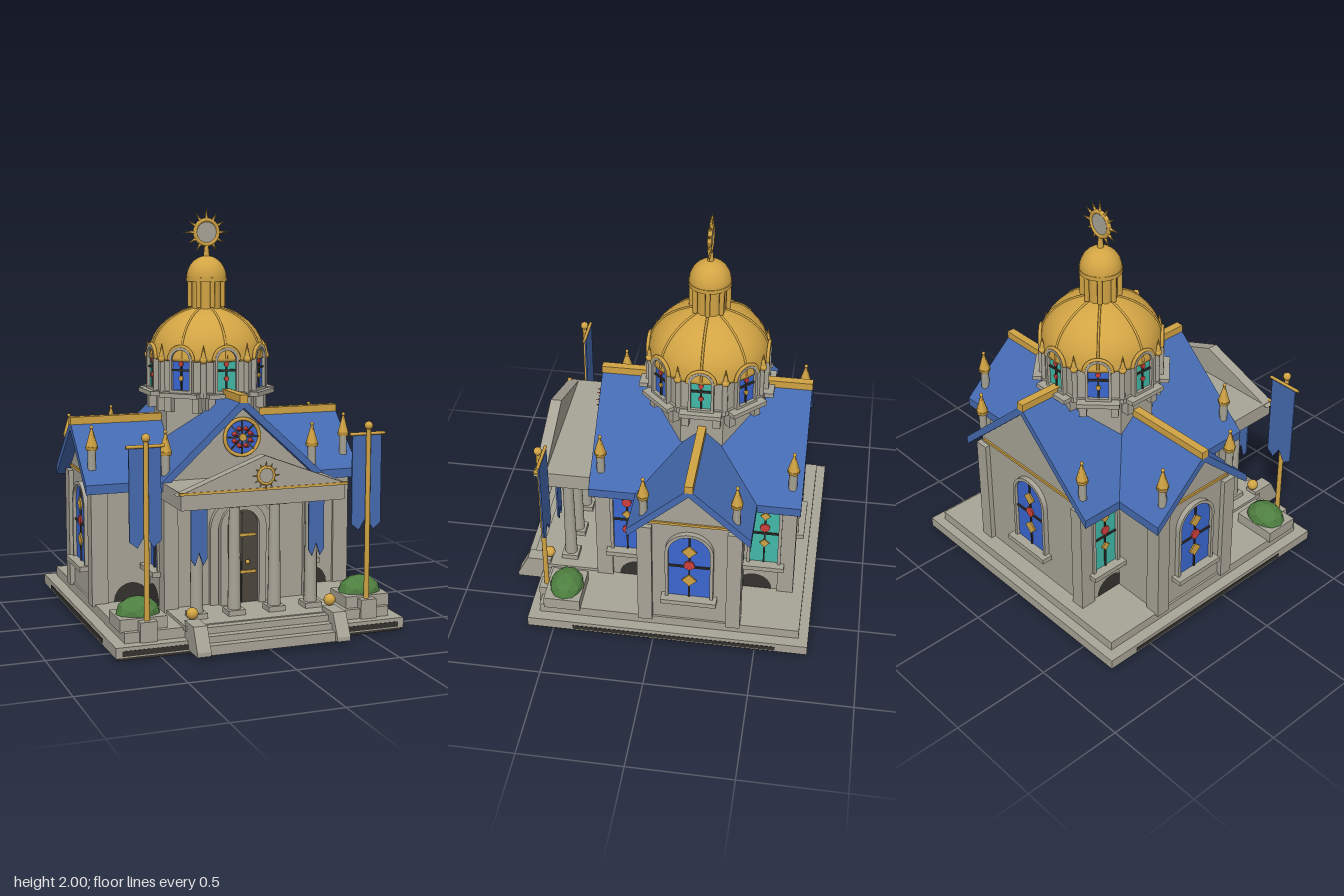
import * as THREE from 'three';

const material = (name, color, extra = {}) => {
  const m = new THREE.MeshStandardMaterial({ color, ...extra });
  m.name = name;
  return m;
};
const stone = material('stone', 0xa8a497);
const roofBlue = material('roofBlue', 0x456ab0);
const gold = material('gold', 0xd2a444);
const glassBlue = material('glassBlue', 0x3a66d0);
const teal = material('teal', 0x42b8a8);
const red = material('red', 0xd0403c);
const green = material('green', 0x4f8040);
const wood = material('wood', 0x4c463c);
const dark = material('dark', 0x34322e);
const foliageFlat = { flat: true };

function add(parent, name, geo, mat, x = 0, y = 0, z = 0) {
  const m = new THREE.Mesh(geo, mat);
  m.name = name;
  m.position.set(x, y, z);
  parent.add(m);
  return m;
}
function group(parent, name, x = 0, y = 0, z = 0, ry = 0) {
  const g = new THREE.Group();
  g.name = name;
  g.position.set(x, y, z);
  g.rotation.y = ry;
  parent.add(g);
  return g;
}
// Box given by its limits
function block(parent, name, mat, x0, x1, y0, y1, z0, z1) {
  return add(parent, name, new THREE.BoxGeometry(x1 - x0, y1 - y0, z1 - z0), mat, (x0 + x1) / 2, (y0 + y1) / 2, (z0 + z1) / 2);
}
const cyl = (rt, rb, h, n = 16) => new THREE.CylinderGeometry(rt, rb, h, n);
const ball = (r) => new THREE.SphereGeometry(r, 16, 10);
const extrude = (shape, depth) => new THREE.ExtrudeGeometry(shape, { depth, bevelEnabled: false, curveSegments: 12 });
const poly = (pts) => new THREE.Shape(pts.map(([x, y]) => new THREE.Vector2(x, y)));

// Round-headed opening with its foot at y = y0
function arch(w, h, y0 = 0, Type = THREE.Shape) {
  const s = new Type(), r = w / 2;
  s.moveTo(-r, y0);
  s.lineTo(r, y0);
  s.lineTo(r, y0 + h - r);
  s.absarc(0, y0 + h - r, r, 0, Math.PI, false);
  s.lineTo(-r, y0);
  return s;
}
function archFrame(w, h, t, depth) {
  const s = arch(w + 2 * t, h + 2 * t, -t);
  s.holes.push(arch(w, h, 0, THREE.Path));
  return extrude(s, depth);
}

// Stained window facing +z, foot at the group origin
function stainedWindow(parent, w, h, glass, x, y, z, ry, marks, frame = 0.016, sill = true) {
  const g = group(parent, 'stainedWindow', x, y, z, ry);
  add(g, 'windowFrame', archFrame(w, h, frame, 0.025), stone);
  add(g, 'windowGlass', extrude(arch(w, h), 0.009), glass);
  block(g, 'mullion', dark, -0.004, 0.004, 0, h - 0.005, 0.009, 0.016);
  block(g, 'crossBar', dark, -w / 2, w / 2, h * 0.5 - 0.005, h * 0.5 + 0.005, 0.009, 0.016);
  marks.forEach(([mat, f, r, n]) => {
    add(g, 'glassOrnament', cyl(r, r, 0.008, n).rotateX(Math.PI / 2), mat, 0, h * f, 0.015);
  });
  if (sill) block(g, 'windowSill', stone, -w / 2 - 0.035, w / 2 + 0.035, -0.025, 0, -0.01, 0.055);
  return g;
}
const tallMarks = [[gold, 0.75, 0.036, 4], [red, 0.53, 0.026, 12], [gold, 0.28, 0.036, 4]];
const blueMarks = [[red, 0.8, 0.024, 12], [gold, 0.6, 0.024, 4], [red, 0.34, 0.024, 12]];
const tealMarks = [[gold, 0.8, 0.024, 4], [red, 0.6, 0.024, 12], [gold, 0.34, 0.024, 4]];

// Gabled wing along local z, with walls, roof, ridge and corner piers
function wing(root, name, z, ry, halfW, halfL, apex, roofHalfW, roofHalfL) {
  const g = group(root, name, 0, 0, z, ry);
  const eave = 0.7, t = 0.045, slope = (apex - eave) / roofHalfW, top = apex - t;
  const wallTop = top - slope * halfW;
  const wall = poly([[-halfW, 0.1], [halfW, 0.1], [halfW, wallTop], [0, top], [-halfW, wallTop]]);
  add(g, 'walls', extrude(wall, 2 * halfL), stone, 0, 0, -halfL);
  const roof = poly([[-roofHalfW, eave], [-roofHalfW, eave - t], [0, top], [roofHalfW, eave - t], [roofHalfW, eave], [0, apex]]);
  add(g, 'roof', extrude(roof, 2 * roofHalfL), roofBlue, 0, 0, -roofHalfL);
  block(g, 'ridge', gold, -0.02, 0.02, apex - 0.02, apex + 0.018, -roofHalfL - 0.002, roofHalfL + 0.002);
  for (const sx of [-1, 1]) for (const sz of [-1, 1]) {
    const px = sx * (halfW - 0.02), pz = sz * (halfL - 0.015);
    block(g, 'cornerPier', stone, px - 0.035, px + 0.035, 0.1, 0.69, pz - 0.04, pz + 0.04);
    // Hexagonal roof pinnacle
    const p = group(g, 'pinnacle', sx * (roofHalfW - 0.075), eave + 0.06, sz * (roofHalfL - 0.05));
    add(p, 'pinnacleShaft', cyl(0.021, 0.021, 0.11, 6), stone, 0, 0.055, 0);
    add(p, 'pinnacleCollar', cyl(0.032, 0.028, 0.018, 6), gold, 0, 0.105, 0);
    add(p, 'pinnacleSpire', cyl(0.004, 0.03, 0.09, 6), gold, 0, 0.157, 0);
    add(p, 'pinnacleTip', ball(0.009), gold, 0, 0.205, 0);
  }
  for (const s of [-1, 1])
    block(g, 'gableBand', gold, -halfW + 0.02, halfW - 0.02, 0.705, 0.718, s * halfL - 0.008, s * halfL + 0.008);
  return g;
}

// Sun emblem facing +z
function sun(parent, name, r, reach, x, y, z) {
  const g = group(parent, name, x, y, z);
  add(g, 'sunDisc', cyl(r, r, 0.008, 24).rotateX(Math.PI / 2), stone);
  add(g, 'sunRing', new THREE.TorusGeometry(r, r * 0.18, 8, 24), gold);
  for (let i = 0; i < 12; i++) {
    const a = i * Math.PI / 6, len = (reach - r) * (i % 3 ? 0.8 : 1);
    const ray = add(g, 'sunRay', new THREE.ConeGeometry(r * 0.16, len, 6), gold, -Math.sin(a) * (r + len / 2), Math.cos(a) * (r + len / 2), 0);
    ray.rotation.z = a;
  }
}
// Swallow-tailed hanging cloth
function banner(parent, w, h, x, top, z) {
  const s = poly([[-w / 2, 0], [-w / 2, -h + 0.03], [-w / 4, -h], [0, -h + 0.06], [w / 4, -h], [w / 2, -h + 0.03], [w / 2, 0]].reverse());
  add(parent, 'banner', extrude(s, 0.008), roofBlue, x, top, z);
}

export function createModel() {
  const root = new THREE.Group();
  root.name = 'domedChapel';

  // Terraces and front stair
  block(root, 'foundation', dark, -0.7, 0.7, 0, 0.016, -0.75, 0.62);
  block(root, 'lowerTerrace', stone, -0.71, 0.71, 0.012, 0.062, -0.757, 0.627);
  block(root, 'upperTerrace', stone, -0.655, 0.655, 0.06, 0.11, -0.71, 0.575);
  block(root, 'porchFloor', stone, -0.38, 0.38, 0.1, 0.125, 0.3, 0.61);
  [0.12, 0.09, 0.06].forEach((y, i) => block(root, 'step', stone, -0.31, 0.31, 0.015, y, 0.55, 0.65 + i * 0.04));
  for (const s of [-1, 1]) {
    const cheek = poly([[0.58, 0.02], [0.755, 0.02], [0.755, 0.04], [0.7, 0.145], [0.58, 0.145]]);
    add(root, 'stairCheek', extrude(cheek, 0.066).rotateY(-Math.PI / 2), stone, s * 0.34 + 0.033, 0, 0);
    add(root, 'stairBall', ball(0.028), gold, s * 0.34, 0.175, 0.59);
    block(root, 'terraceStain', dark, s * 0.5 - 0.18, s * 0.5 + 0.18, 0.02, 0.045, 0.622, 0.629);
    block(root, 'terraceStain', dark, s * 0.708 - 0.004, s * 0.708 + 0.004, 0.02, 0.042, -0.6, 0.4);
  }

  // Crossing wings
  wing(root, 'nave', -0.162, 0, 0.375, 0.47, 1.11, 0.445, 0.513);
  wing(root, 'transept', -0.172, Math.PI / 2, 0.235, 0.645, 0.97, 0.293, 0.705);

  // Wall windows and damp stains
  stainedWindow(root, 0.2, 0.38, glassBlue, 0, 0.27, -0.632, Math.PI, tallMarks);
  for (const s of [-1, 1]) {
    const ry = s * Math.PI / 2;
    stainedWindow(root, 0.2, 0.38, glassBlue, s * 0.645, 0.27, -0.172, ry, tallMarks);
    stainedWindow(root, 0.135, 0.37, glassBlue, s * 0.375, 0.295, 0.175, ry, blueMarks);
    stainedWindow(root, 0.135, 0.37, teal, s * 0.375, 0.295, -0.505, ry, tealMarks);
    for (const z of [0.13, -0.46])
      add(root, 'wallStain', new THREE.CircleGeometry(0.09, 10, 0, Math.PI), dark, s * 0.379, 0.112, z).rotation.y = ry;
    add(root, 'wallStain', new THREE.CircleGeometry(0.09, 10, 0, Math.PI), dark, s * 0.47, 0.112, 0.067);
  }

  // Doorway
  const door = group(root, 'doorway', 0, 0.125, 0.308);
  add(door, 'outerArch', archFrame(0.24, 0.48, 0.04, 0.025), stone);
  add(door, 'innerArch', archFrame(0.16, 0.455, 0.035, 0.045), stone);
  add(door, 'doorLeaves', extrude(arch(0.16, 0.455), 0.02), wood);
  block(door, 'doorSeam', dark, -0.003, 0.003, 0, 0.44, 0.02, 0.025);
  for (const y of [0.15, 0.33]) block(door, 'doorHinge', gold, -0.07, 0.07, y - 0.007, y + 0.007, 0.02, 0.028);
  for (const s of [-1, 1]) add(door, 'doorKnob', ball(0.011), gold, s * 0.024, 0.2, 0.035);

  // Rose window
  const rose = group(root, 'roseWindow', 0, 0.925, 0.308);
  add(rose, 'roseGlass', cyl(0.085, 0.085, 0.02, 32).rotateX(Math.PI / 2), glassBlue, 0, 0, 0.01);
  add(rose, 'roseRing', new THREE.TorusGeometry(0.087, 0.009, 8, 32), gold, 0, 0, 0.02);
  add(rose, 'roseHub', cyl(0.018, 0.018, 0.012, 12).rotateX(Math.PI / 2), gold, 0, 0, 0.028);
  for (let i = 0; i < 8; i++) {
    const a = i * Math.PI / 4, b = a + Math.PI / 8;
    add(rose, 'roseSpoke', new THREE.BoxGeometry(0.08, 0.006, 0.006), dark, Math.cos(a) * 0.042, Math.sin(a) * 0.042, 0.023).rotation.z = a;
    add(rose, 'rosePetal', new THREE.ConeGeometry(0.012, 0.06, 6).rotateX(Math.PI / 2), red, Math.cos(b) * 0.043, Math.sin(b) * 0.043, 0.05);
  }

  // Portico
  for (const x of [-0.285, -0.1, 0.1, 0.285]) {
    const c = group(root, 'column', x, 0.12, 0.49);
    block(c, 'columnBase', stone, -0.042, 0.042, 0, 0.03, -0.042, 0.042);
    add(c, 'columnShaft', cyl(0.025, 0.031, 0.49), stone, 0, 0.27, 0);
    block(c, 'columnCapital', gold, -0.042, 0.042, 0.515, 0.537, -0.042, 0.042);
  }
  block(root, 'entablature', stone, -0.4, 0.4, 0.655, 0.735, 0.3, 0.615);
  add(root, 'pediment', extrude(poly([[-0.42, 0.725], [0.42, 0.725], [0, 0.885]]), 0.055), stone, 0, 0, 0.57);
  block(root, 'pedimentBand', gold, -0.41, 0.41, 0.728, 0.738, 0.61, 0.629);
  sun(root, 'pedimentSun', 0.038, 0.07, 0, 0.795, 0.632);

  // Planters, flags and porch banners
  for (const s of [-1, 1]) {
    const x = s * 0.557;
    block(root, 'planter', stone, x - 0.112, x + 0.112, 0.105, 0.165, 0.37, 0.55);
    const bush = new THREE.IcosahedronGeometry(0.1, 1).toNonIndexed();
    bush.computeVertexNormals();
    add(root, 'bush', bush, green, x, 0.165, 0.455).scale.set(1.05, 0.8, 0.85);
    const f = group(root, 'flag', s * 0.545, 0, 0.56);
    block(f, 'flagFoot', stone, -0.04, 0.04, 0.06, 0.155, -0.03, 0.03);
    add(f, 'flagPole', cyl(0.011, 0.013, 0.84, 10), gold, 0, 0.56, 0);
    add(f, 'flagBall', ball(0.02), gold, 0, 0.985, 0);
    add(f, 'flagBar', cyl(0.008, 0.008, 0.18, 8).rotateZ(Math.PI / 2), gold, 0, 0.945, -0.014);
    banner(f, 0.15, 0.455, 0, 0.94, -0.022);
    banner(root, 0.078, 0.27, s * 0.29, 0.65, 0.535);
  }

  // Octagonal drum
  const tower = group(root, 'domeTower', 0, 0, -0.17);
  const oct = Math.PI / 8, k = 1 / Math.cos(oct);
  const flatOct = (a, h) => cyl(a * k, a * k, h, 8).rotateY(oct).toNonIndexed();
  const drum = (name, a, y0, y1) => {
    const g = flatOct(a, y1 - y0);
    g.computeVertexNormals();
    add(tower, name, g, stone, 0, (y0 + y1) / 2, 0);
  };
  drum('lowerDrum', 0.245, 0.72, 1.095);
  drum('drumCornice', 0.282, 1.085, 1.11);
  drum('upperDrum', 0.27, 1.1, 1.29);
  for (let i = 0; i < 8; i++) {
    const side = group(tower, 'drumSide', 0, 0, 0, i * Math.PI / 4);
    block(side, 'drumLedge', stone, -0.1, 0.1, 1.085, 1.107, 0.24, 0.325);
    for (const s of [-1, 1]) block(side, 'drumBracket', stone, s * 0.075 - 0.018, s * 0.075 + 0.018, 1.01, 1.09, 0.235, 0.285);
    const mid = i % 2 ? gold : red;
    stainedWindow(side, 0.095, 0.195, i % 2 ? glassBlue : teal, 0, 1.12, 0.272, 0,
      [[red, 0.66, 0.012, 10], [mid, 0.3, 0.012, 10]], 0.013, false);
    add(side, 'windowHood', new THREE.TorusGeometry(0.066, 0.009, 6, 16, Math.PI), gold, 0, 1.266, 0.288);
    const corner = group(tower, 'drumCorner', 0, 0, 0, i * Math.PI / 4 + oct);
    add(corner, 'cornerShaft', cyl(0.014, 0.014, 0.16, 8), stone, 0, 1.185, 0.288);
    add(corner, 'cornerBall', ball(0.018), gold, 0, 1.268, 0.294);
    add(corner, 'cornerSpike', new THREE.ConeGeometry(0.014, 0.07, 8), gold, 0, 1.31, 0.294);
  }

  // Dome with ribs
  const dome = [[0.275, 1.255], [0.292, 1.262]];
  for (let i = 0; i <= 12; i++) {
    const a = i / 12 * Math.PI * 0.5;
    dome.push([Math.max(0.288 * Math.cos(a), 0.0001), 1.275 + 0.235 * Math.sin(a)]);
  }
  add(tower, 'dome', new THREE.LatheGeometry(dome.map(([r, y]) => new THREE.Vector2(r, y)), 40), gold);
  for (let i = 0; i < 8; i++) {
    const pts = dome.slice(2, 13).map(([r, y]) => new THREE.Vector3(0, y, r));
    add(tower, 'domeRib', new THREE.TubeGeometry(new THREE.CatmullRomCurve3(pts), 20, 0.006, 6), gold).rotation.y = i * Math.PI / 4;
    add(tower, 'lanternPost', cyl(0.012, 0.012, 0.13, 8), gold, 0.088 * Math.sin(i * Math.PI / 4), 1.575, 0.088 * Math.cos(i * Math.PI / 4));
  }

  // Lantern, cupola and crowning sun
  add(tower, 'lantern', cyl(0.08, 0.08, 0.14, 8).rotateY(oct), gold, 0, 1.57, 0);
  add(tower, 'lanternRim', cyl(0.102, 0.102, 0.02, 24), gold, 0, 1.645, 0);
  add(tower, 'cupola', new THREE.SphereGeometry(0.1, 24, 10, 0, Math.PI * 2, 0, Math.PI / 2), gold, 0, 1.65, 0).scale.y = 1.1;
  add(tower, 'sunStem', cyl(0.009, 0.016, 0.07, 10), gold, 0, 1.785, 0);
  sun(tower, 'crowningSun', 0.06, 0.125, 0, 1.875, 0);

  return root;
}
